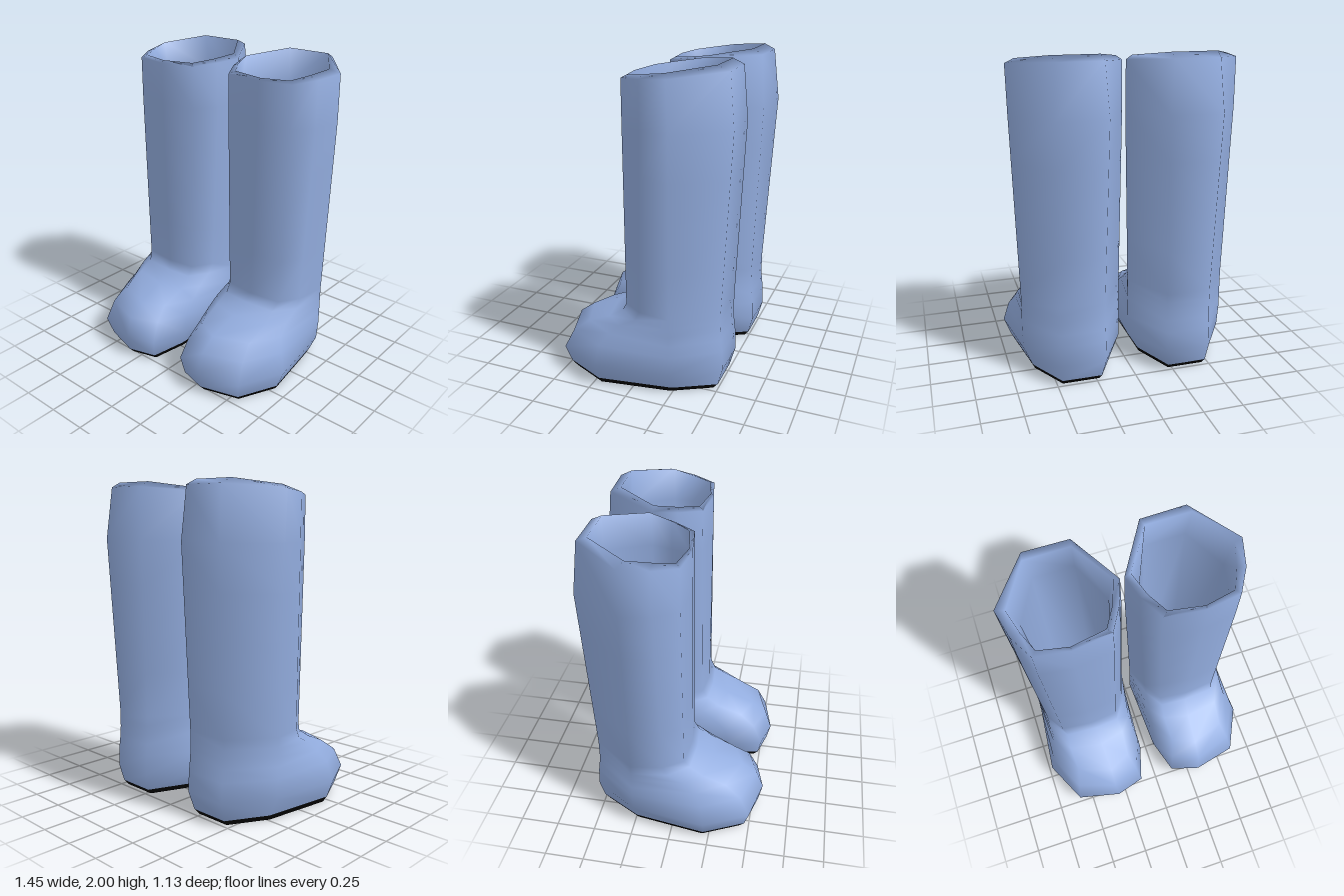
import * as THREE from 'three';

// Each ring runs: back inner, back outer, outer side, outer ball, outer toe,
// toe tip, inner toe, inner ball, inner side. Points are [x, z].
const SOLE = [[.22, -.50], [.47, -.50], [.61, -.25], [.68, .22], [.56, .47], [.32, .54], [.14, .49], [.10, .25], [.10, -.22]];
const SHAFT_LOW = [[.20, -.51], [.48, -.51], [.67, -.25], [.64, -.05], [.56, .07], [.36, .09], [.17, .07], [.09, -.06], [.03, -.22]];
const SHAFT_HIGH = [[.18, -.55], [.50, -.565], [.705, -.26], [.67, -.08], [.59, .06], [.38, .09], [.14, .06], [.06, -.08], [.01, -.22]];
const RIM_EDGE = [[.20, -.525], [.48, -.53], [.71, -.25], [.67, -.08], [.59, .06], [.38, .09], [.14, .06], [.06, -.08], [.012, -.22]];
const RIM_TOP = [[.21, -.46], [.49, -.46], [.65, -.22], [.61, -.08], [.56, .035], [.38, .07], [.17, .035], [.10, -.08], [.05, -.22]];
const LINING = [[.21, -.46], [.46, -.46], [.60, -.20], [.58, -.08], [.54, .05], [.38, .085], [.18, .05], [.12, -.08], [.09, -.20]];

// A ring at height y, tilted so that it rises by "tilt" per unit towards the back
const ring = (points, y, tilt = 0) => points.map(([x, z]) => [x, y - tilt * z, z]);
const blend = (a, b, t) => a.map((p, i) => p.map((v, k) => v + (b[i][k] - v) * t));
const N = SOLE.length;

// Skin a stack of rings; side = -1 mirrors it across x
function loft(rings, side, capBottom = false) {
  const pos = [], idx = [];
  const tri = (a, b, c) => idx.push(...(side > 0 ? [a, b, c] : [a, c, b]));
  rings.forEach(r => r.forEach(([x, y, z]) => pos.push(x * side, y, z)));
  for (let j = 0; j < rings.length - 1; j++) {
    for (let i = 0; i < N; i++) {
      const a = j * N + i, b = j * N + (i + 1) % N;
      tri(a, a + N, b);
      tri(b, a + N, b + N);
    }
  }
  if (capBottom) {
    const y = rings[0][0][1];
    pos.push(.36 * side, y, 0);
    for (let i = 0; i < N; i++) tri(rings.length * N, i, (i + 1) % N);
  }
  const g = new THREE.BufferGeometry();
  g.setAttribute('position', new THREE.Float32BufferAttribute(pos, 3));
  g.setIndex(idx);
  g.computeVertexNormals();
  return g;
}

export function createModel() {
  const blue = new THREE.MeshStandardMaterial({ color: 0x93addf });
  blue.name = 'blue rubber';
  const black = new THREE.MeshStandardMaterial({ color: 0x050505 });
  black.name = 'black sole';

  // Foot, then shaft, then over the rim and down the inside
  const upper = [
    ring(SOLE, .035),
    ring([[.20, -.53], [.48, -.53], [.66, -.25], [.725, .22], [.59, .50], [.31, .565], [.12, .51], [.05, .28], [.03, -.22]], .15),
    ring([[.20, -.525], [.48, -.525], [.67, -.25], [.69, .20], [.57, .44], [.32, .52], [.14, .45], [.06, .25], [.03, -.22]], .275),
    ring([[.20, -.515], [.48, -.515], [.67, -.25], [.65, .15], [.54, .34], [.32, .42], [.17, .35], [.07, .17], [.03, -.22]], .35),
    ring([[.20, -.51], [.48, -.51], [.67, -.25], [.64, .08], [.55, .19], [.33, .23], [.16, .19], [.08, .09], [.03, -.22]], .415),
    ring([[.20, -.51], [.48, -.51], [.67, -.25], [.64, -.02], [.54, .105], [.34, .12], [.17, .105], [.09, -.02], [.03, -.22]], .47),
    ring(SHAFT_LOW, .53),
    ...[.25, .5, .75].map(t => ring(blend(SHAFT_LOW, SHAFT_HIGH, t), .53 + 1.12 * t)),
    ring(SHAFT_HIGH, 1.65),
    ring(RIM_EDGE, 1.92, .09),
    ring(RIM_TOP, 1.935, .14),
    ring(LINING, 1.78),
    ring(LINING, .05),
  ];
  const solePart = [
    ring(blend(SOLE, SOLE.map(() => [.36, 0]), .06), 0),
    ring(SOLE, .037),
  ];
  // Inside floor, reversed in order so that it faces up
  const floor = ring(LINING.map(([x, z]) => [x, z]), .055).reverse();

  const model = new THREE.Group();
  model.name = 'pair of boots';
  for (const side of [1, -1]) {
    const boot = new THREE.Group();
    boot.name = side > 0 ? 'leftBoot' : 'rightBoot';
    const add = (name, geometry, material) => {
      const mesh = new THREE.Mesh(geometry, material);
      mesh.name = name;
      boot.add(mesh);
    };
    add('upper', loft(upper, side), blue);
    add('sole', loft(solePart, side, true), black);
    add('insole', loft([floor], side, true), black);
    model.add(boot);
  }
  return model;
}
